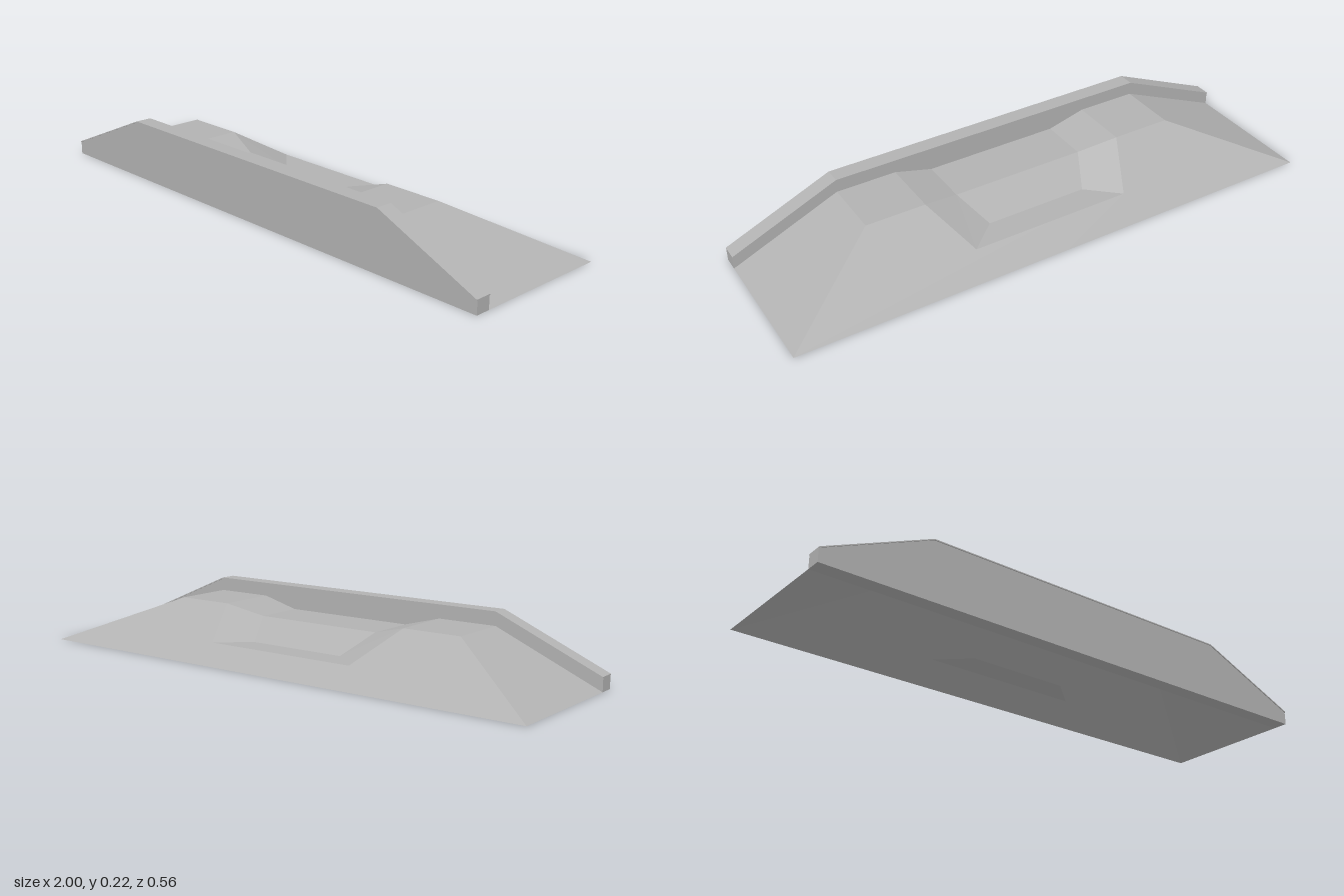
import * as THREE from 'three';

const concrete = new THREE.MeshStandardMaterial({ color: 0xb2b2b2, side: THREE.DoubleSide });
concrete.name = 'concrete grey';

// Upright slab: an outline in x and y, given depth between two z values
function slab(name, outline, z0, z1) {
  const shape = new THREE.Shape(outline.map(([x, y]) => new THREE.Vector2(x, y)));
  const geometry = new THREE.ExtrudeGeometry(shape, { depth: z1 - z0, bevelEnabled: false });
  geometry.translate(0, 0, z0);
  const mesh = new THREE.Mesh(geometry, concrete);
  mesh.name = name;
  return mesh;
}

// Open surface of flat quads, given for +x and mirrored to -x
function mirroredQuads(name, quads) {
  const positions = [];
  for (const quad of quads) {
    const mirrored = quad.map(([x, y, z]) => [-x, y, z]).reverse();
    for (const [a, b, c, d] of [quad, mirrored]) {
      positions.push(...a, ...b, ...c, ...a, ...c, ...d);
    }
  }
  const geometry = new THREE.BufferGeometry();
  geometry.setAttribute('position', new THREE.Float32BufferAttribute(positions, 3));
  geometry.computeVertexNormals();
  const mesh = new THREE.Mesh(geometry, concrete);
  mesh.name = name;
  return mesh;
}

export function createModel() {
  const group = new THREE.Group();
  group.name = 'embankment';

  // Front wall with chamfered shoulders, and its slightly wider coping
  const top = [[1, 0.05], [0.61, 0.217], [-0.61, 0.217], [-1, 0.05]];
  const lower = top.map(([x, y]) => [x, y - 0.004]);
  group.add(slab('frontWall', [[-1, 0], [1, 0], ...lower], 0.223, 0.277));
  group.add(slab('coping', [...top, ...lower.slice().reverse()], 0.22, 0.28));

  // Key points of the bank behind the wall
  const zWall = 0.223, h = 0.167, floor = 0.13, ledge = 0.06;
  const backCorner = [1, 0, -0.28];
  const ridgeEnd = [0.61, h, 0], ridgeEndWall = [0.61, h, zWall];
  const rim = [0.39, h, 0], rimWall = [0.39, h, zWall], rimBack = [0.3, ledge, -0.18];
  const bed = [0.25, floor, 0.04], bedWall = [0.25, floor, zWall], bedBack = [0.19, ledge, -0.08];
  const middle = ([, y, z]) => [0, y, z];

  // Side slope, flat crest and back slope
  group.add(mirroredQuads('bank', [
    [backCorner, ridgeEnd, ridgeEndWall, [1, 0, zWall]],
    [ridgeEnd, rim, rimWall, ridgeEndWall],
    [backCorner, rimBack, rim, ridgeEnd],
    [backCorner, middle(backCorner), middle(rimBack), rimBack],
  ]));

  // Hollow sunk into the crest and back slope
  group.add(mirroredQuads('hollow', [
    [rim, bed, bedWall, rimWall],
    [bed, middle(bed), middle(bedWall), bedWall],
    [bedBack, middle(bedBack), middle(bed), bed],
    [rimBack, bedBack, bed, rim],
    [rimBack, middle(rimBack), middle(bedBack), bedBack],
  ]));

  return group;
}
